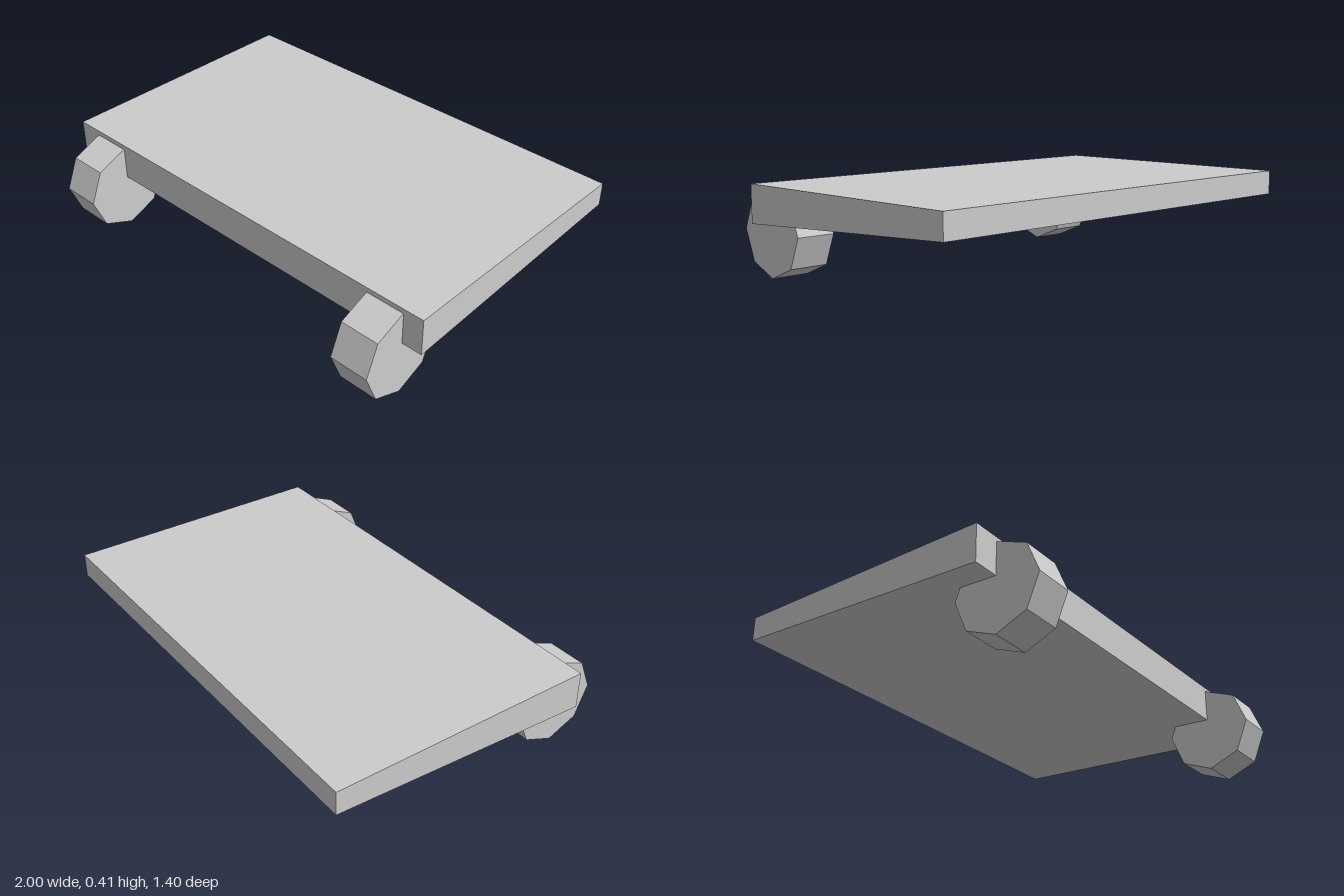
import * as THREE from 'three';

export function createModel() {
  const model = new THREE.Group();
  const grey = new THREE.MeshStandardMaterial({ color: 0xcccccc, flatShading: true });
  grey.name = 'light grey';

  // Wedge-shaped deck: side profile (z, y) extruded across the width
  const profile = new THREE.Shape([
    [0.5, 0.245], [0.5, 0.412], [-0.698, 0.412], [-0.698, 0.305],
  ].map(([z, y]) => new THREE.Vector2(-z, y)));
  const deckGeometry = new THREE.ExtrudeGeometry(profile, { depth: 2, bevelEnabled: false });
  deckGeometry.translate(0, 0, -1).rotateY(Math.PI / 2);
  const deck = new THREE.Mesh(deckGeometry, grey);
  deck.name = 'deck';
  model.add(deck);

  // Octagonal wheels under the front edge, points facing up and forward
  const wheelGeometry = new THREE.CylinderGeometry(0.196, 0.196, 0.178, 8).rotateZ(Math.PI / 2);
  for (const [name, x] of [['leftWheel', 0.818], ['rightWheel', -0.793]]) {
    const wheel = new THREE.Mesh(wheelGeometry, grey);
    wheel.name = name;
    wheel.position.set(x, 0.196, 0.502);
    model.add(wheel);
  }

  return model;
}
